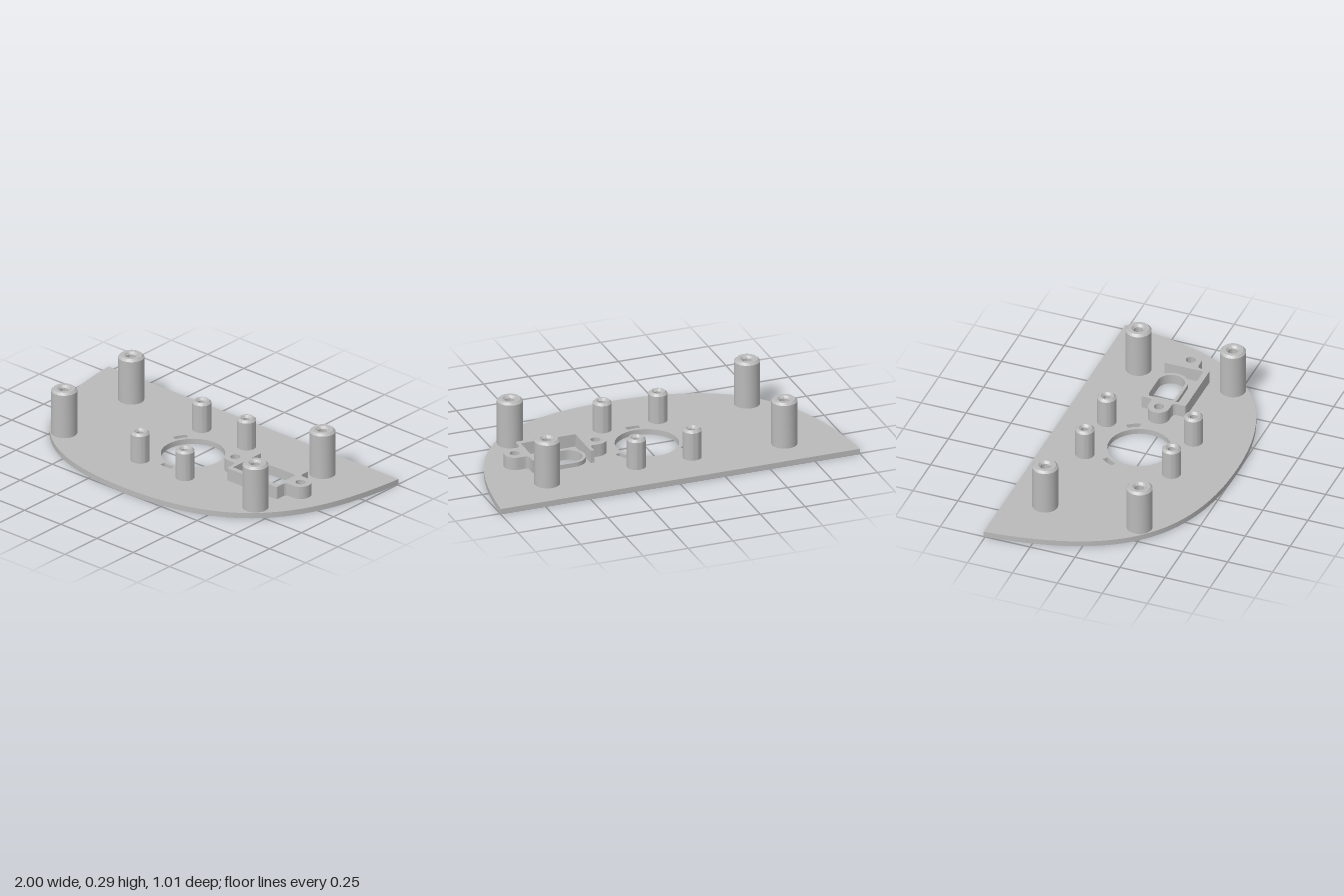
import * as THREE from 'three';
import { toCreasedNormals } from 'three/addons/utils/BufferGeometryUtils.js';

const PLATE = 0.03;
const HOLE_Z = -0.035;
const PORT_X = 0.5125, PORT_Z = -0.084;

export function createModel() {
  const grey = new THREE.MeshStandardMaterial({ color: 0xbababa });
  grey.name = 'grey plastic';
  const model = new THREE.Group();
  model.name = 'mountingPlate';

  const add = (name, geometry, x = 0, y = 0, z = 0) => {
    const mesh = new THREE.Mesh(geometry, grey);
    mesh.name = name;
    mesh.position.set(x, y, z);
    model.add(mesh);
  };

  // Shapes are drawn with shape y = -z and extruded upwards
  const slab = (shape, height) => {
    const g = new THREE.ExtrudeGeometry(shape, { depth: height, bevelEnabled: false, curveSegments: 32 });
    g.rotateX(-Math.PI / 2);
    return toCreasedNormals(g, 0.5);
  };
  const circle = (x, z, r) => new THREE.Path().absarc(x, -z, r, 0, Math.PI * 2, true);

  // Rounded rectangle around a centre point, given half sizes
  const rounded = (path, x, z, w, h, r) => {
    const y = -z;
    path.absarc(x + w - r, y + h - r, r, 0, Math.PI / 2);
    path.absarc(x - w + r, y + h - r, r, Math.PI / 2, Math.PI);
    path.absarc(x - w + r, y - h + r, r, Math.PI, Math.PI * 1.5);
    path.absarc(x + w - r, y - h + r, r, Math.PI * 1.5, Math.PI * 2);
    path.closePath();
    return path;
  };
  const portHole = () => rounded(new THREE.Path(), PORT_X, PORT_Z, 0.128, 0.072, 0.07);

  // Base plate: straight back edge, bowed front, with its openings
  const base = new THREE.Shape();
  base.moveTo(1, 0.508);
  base.lineTo(-1, 0.508);
  base.bezierCurveTo(-0.95, -0.1, -0.74, -0.506, 0, -0.506);
  base.bezierCurveTo(0.74, -0.506, 0.95, -0.1, 1, 0.508);
  base.holes.push(circle(0, HOLE_Z, 0.167), portHole());
  for (const angle of [Math.PI / 6, Math.PI * 5 / 6, -Math.PI / 2]) {
    const slot = new THREE.Path();
    slot.absarc(0, -HOLE_Z, 0.216, angle - 0.18, angle + 0.18, false);
    slot.absarc(0, -HOLE_Z, 0.187, angle + 0.18, angle - 0.18, true);
    slot.closePath();
    base.holes.push(slot);
  }
  add('basePlate', slab(base, PLATE));

  // Hollow screw posts with chamfered rims
  const post = (radius, bore, top) => {
    const c = 0.012;
    const profile = [
      [radius, PLATE], [radius, top - c], [radius - c, top], [bore + c, top],
      [bore, top - c], [bore, PLATE + 0.02], [0, PLATE + 0.02],
    ].map(([x, y]) => new THREE.Vector2(x, y));
    return toCreasedNormals(new THREE.LatheGeometry(profile, 40).toNonIndexed(), 0.5);
  };
  const tall = post(0.068, 0.024, 0.286);
  const short = post(0.05, 0.018, 0.196);
  for (const side of [-1, 1]) {
    for (const z of [-0.3, 0.225]) add('tallPost', tall, side * 0.66, 0, z);
    for (const z of [-0.278, 0.204]) add('shortPost', short, side * 0.155, 0, z);
  }

  // Connector bracket: U-shaped wall, open at the back, with a screw ear on each side
  const W = 0.172, IN = 0.152, EAR = 0.225, R = 0.057;
  const u = new THREE.Shape();
  u.moveTo(-IN, 0.158);
  u.lineTo(-W, 0.158);
  u.lineTo(-W, 0.12);
  u.quadraticCurveTo(-W, 0.097, -W - 0.023, 0.097);
  u.lineTo(-EAR, 0.04 + R);
  u.absarc(-EAR, 0.04, R, Math.PI / 2, Math.PI * 1.5, false);
  u.lineTo(-W - 0.023, 0.04 - R);
  u.quadraticCurveTo(-W, 0.04 - R, -W, -0.04);
  u.lineTo(-W, -0.075);
  u.quadraticCurveTo(-W, -0.088, -W + 0.013, -0.088);
  u.lineTo(W - 0.013, -0.088);
  u.quadraticCurveTo(W, -0.088, W, -0.075);
  u.lineTo(W, -0.04);
  u.quadraticCurveTo(W, 0.04 - R, W + 0.023, 0.04 - R);
  u.lineTo(EAR, 0.04 - R);
  u.absarc(EAR, 0.04, R, -Math.PI / 2, Math.PI / 2, false);
  u.lineTo(W + 0.023, 0.097);
  u.quadraticCurveTo(W, 0.097, W, 0.12);
  u.lineTo(W, 0.158);
  u.lineTo(IN, 0.158);
  u.lineTo(IN, -0.06);
  u.lineTo(-IN, -0.06);
  u.closePath();
  u.holes.push(circle(-EAR, -0.04, 0.026), circle(EAR, -0.04, 0.026));
  add('connectorBracket', slab(u, 0.07), PORT_X, PLATE, 0);

  // Low collar around the connector opening
  const collar = rounded(new THREE.Shape(), PORT_X, PORT_Z, 0.146, 0.088, 0.085);
  collar.holes.push(portHole());
  add('connectorCollar', slab(collar, 0.024), 0, PLATE, 0);

  return model;
}
